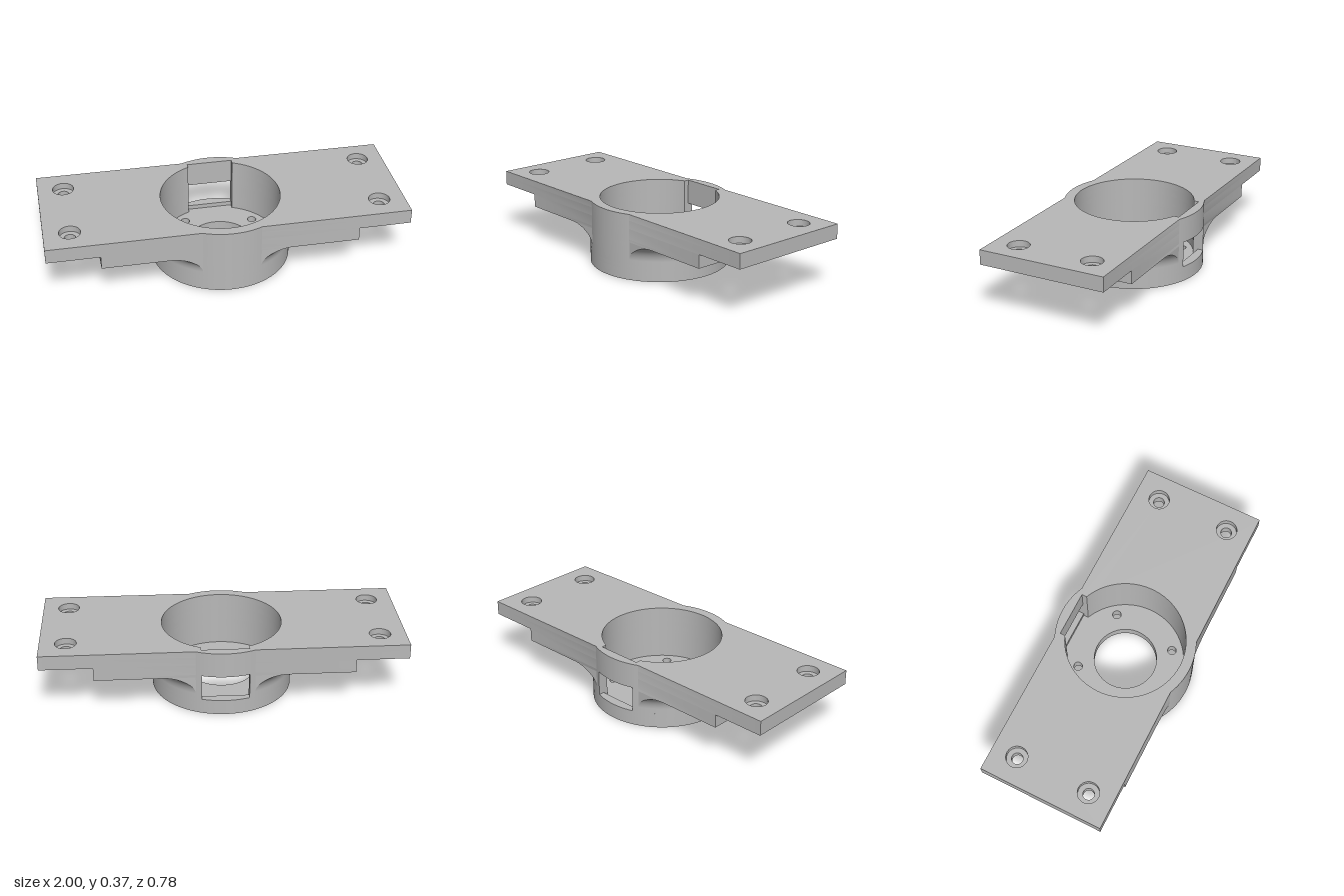
import * as THREE from 'three';
import { toCreasedNormals } from 'three/addons/utils/BufferGeometryUtils.js';
import { ParametricGeometry } from 'three/addons/geometries/ParametricGeometry.js';

const R = 0.392, BORE = 0.335, D = 0.357;   // boss radius, bore radius, plate half depth
const WIN = 0.13, POCKET = 0.338;           // window half width, flat pocket depth
const FILLET = 0.1, BLOCK_Y = 0.215, TOP = 0.372;
const aBore = Math.acos(WIN / BORE), aWin = Math.acos(WIN / R), aSide = Math.asin(D / R);
const PI = Math.PI;

// Shapes are drawn in plan, with shape y pointing to the back (-z)
function circle(x, y, r) {
  return new THREE.Path().absarc(x, y, r, 0, PI * 2, false);
}

// Bore with a flat pocket at the back
function borePath() {
  const p = new THREE.Path();
  p.absarc(0, 0, BORE, aBore, PI - aBore, true);
  p.lineTo(-WIN, POCKET);
  p.lineTo(WIN, POCKET);
  p.closePath();
  return p;
}

function discShape(...holes) {
  const s = new THREE.Shape();
  s.absarc(0, 0, R, 0, PI * 2, false);
  s.holes.push(...holes);
  return s;
}

// Ring interrupted by the rear window
function openRingShape() {
  const s = new THREE.Shape();
  s.absarc(0, 0, R, aWin, PI - aWin, true);
  s.absarc(0, 0, BORE, PI - aBore, aBore, false);
  s.closePath();
  return s;
}

// Rectangle with round bulges front and back; open cuts the window through
function slabShape(w, open, ...holes) {
  const s = new THREE.Shape();
  s.moveTo(w, -D);
  s.lineTo(w, D);
  if (open) {
    s.absarc(0, 0, R, aSide, aWin, false);
    s.absarc(0, 0, BORE, aBore, PI - aBore, true);
    s.absarc(0, 0, R, PI - aWin, PI - aSide, false);
  } else {
    s.absarc(0, 0, R, aSide, PI - aSide, false);
  }
  s.lineTo(-w, D);
  s.lineTo(-w, -D);
  s.absarc(0, 0, R, PI + aSide, PI * 2 - aSide, false);
  s.closePath();
  s.holes.push(...holes);
  return s;
}

export function createModel() {
  const model = new THREE.Group();
  const grey = new THREE.MeshStandardMaterial({ color: 0xb8b8b8, side: THREE.DoubleSide });
  grey.name = 'grey';

  function add(name, geometry) {
    const mesh = new THREE.Mesh(geometry, grey);
    mesh.name = name;
    model.add(mesh);
    return mesh;
  }
  function layer(name, shape, y0, y1) {
    const g = new THREE.ExtrudeGeometry(shape, { depth: y1 - y0, bevelEnabled: false, curveSegments: 72 });
    g.rotateX(-PI / 2);
    g.translate(0, y0, 0);
    return add(name, toCreasedNormals(g, 0.5));
  }

  // Round boss: floor with mounting holes, then the wall with its window
  const floorHoles = [[-0.165, 0.222], [0.22, 0.167], [0.165, -0.218], [-0.22, -0.165]]
    .map(([x, y]) => circle(x, y, 0.025));
  layer('bossFloor', discShape(circle(0, 0, 0.18), ...floorHoles), 0, 0.06);
  layer('bossWallLower', discShape(borePath()), 0.06, 0.085);
  layer('bossWallWindow', openRingShape(), 0.085, BLOCK_Y);

  // Middle block, the window reaching into its underside
  layer('middleBlockLower', slabShape(0.71, true), BLOCK_Y, 0.23);
  layer('middleBlockUpper', slabShape(0.71, false, borePath()), 0.23, 0.29);

  // Top plate with counterbored corner holes
  const corners = (r) => [[1, 1], [-1, 1], [-1, -1], [1, -1]]
    .map(([sx, sy]) => circle(sx * 0.857, sy * 0.215, r));
  layer('plateLower', slabShape(1, false, borePath(), ...corners(0.031)), 0.29, 0.337);
  layer('plateUpper', slabShape(1, false, borePath(), ...corners(0.059)), 0.337, TOP);

  // Fillets flaring from the boss to the block, trimmed flush with the block sides
  const profile = (v) => {
    const t = v * PI / 2;
    return [R + FILLET * (1 - Math.cos(t)), BLOCK_Y - FILLET * (1 - Math.sin(t))];
  };
  const flare = new ParametricGeometry((u, v, target) => {
    const [r, y] = profile(v);
    const phi = Math.asin(D / r) * (1 - 2 * u);
    target.set(r * Math.cos(phi), y, r * Math.sin(phi));
  }, 48, 16);

  // Flat end faces of the fillets
  const x0 = Math.sqrt(R * R - D * D);
  const points = [];
  for (let i = 0; i <= 16; i++) {
    const [r, y] = profile(i / 16);
    points.push(new THREE.Vector2(Math.sqrt(r * r - D * D), y));
  }
  points.push(new THREE.Vector2(x0, BLOCK_Y));
  const cap = new THREE.ShapeGeometry(new THREE.Shape(points));

  for (const [side, turn] of [['left', 0], ['right', PI]]) {
    add(side + 'Fillet', flare).rotation.y = turn;
    for (const z of [D, -D]) {
      const g = cap.clone().translate(0, 0, z);
      add(side + 'FilletEnd', g).rotation.y = turn;
    }
  }
  return model;
}
